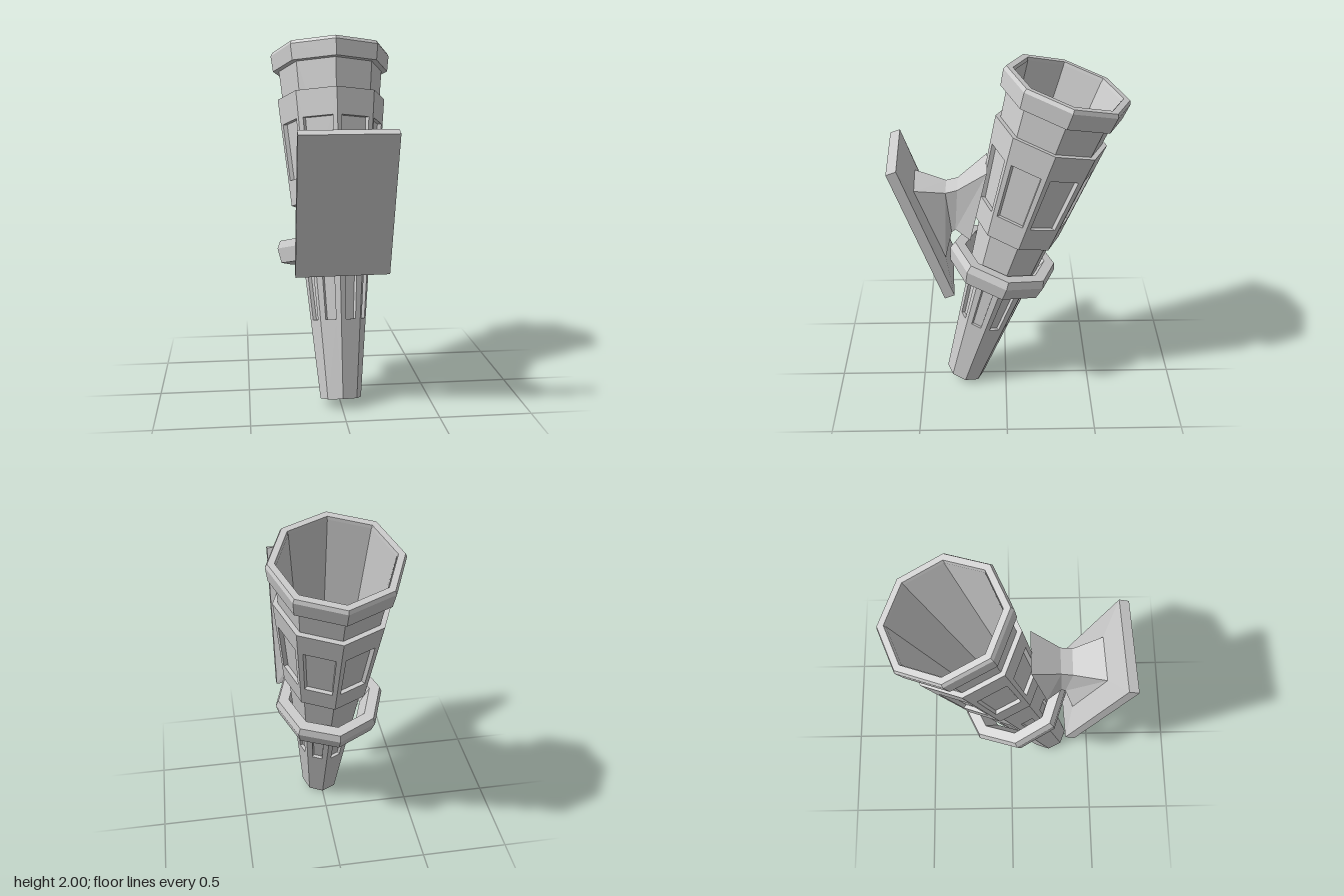
import * as THREE from 'three';

const SIDES = 8;
const material = new THREE.MeshStandardMaterial({ color: 0xcccccc, flatShading: true });

// Turn a list of four-cornered faces into a flat shaded mesh
function quadMesh(name, quads) {
  const pos = [];
  for (const [a, b, c, d] of quads) for (const p of [a, b, c, a, c, d]) pos.push(...p);
  const geometry = new THREE.BufferGeometry();
  geometry.setAttribute('position', new THREE.Float32BufferAttribute(pos, 3));
  geometry.computeVertexNormals();
  const mesh = new THREE.Mesh(geometry, material);
  mesh.name = name;
  return mesh;
}

// Eight-sided turned part; profile points are [radius, height]
function turned(name, profile) {
  const points = profile.map(([r, y]) => new THREE.Vector2(r, y));
  const mesh = new THREE.Mesh(new THREE.LatheGeometry(points, SIDES), material);
  mesh.name = name;
  return mesh;
}

// Tapered eight-sided wall with one recessed panel in every face
function panelledWall(name, { y0, r0, y1, r1, low, high, margin, depth }) {
  const quads = [];
  for (let k = 0; k < SIDES; k++) {
    const point = (t, y, inset = 0) => {
      const r = r0 + (r1 - r0) * (y - y0) / (y1 - y0) - inset;
      const a = k * 2 * Math.PI / SIDES;
      const b = (k + 1) * 2 * Math.PI / SIDES;
      return [
        r * ((1 - t) * Math.sin(a) + t * Math.sin(b)),
        y,
        r * ((1 - t) * Math.cos(a) + t * Math.cos(b)),
      ];
    };
    const outer = [[0, y0], [1, y0], [1, y1], [0, y1]].map(([t, y]) => point(t, y));
    const corners = [[margin, low], [1 - margin, low], [1 - margin, high], [margin, high]];
    const edge = corners.map(([t, y]) => point(t, y));
    const back = corners.map(([t, y]) => point(t, y, depth));
    for (let i = 0; i < 4; i++) {
      const j = (i + 1) % 4;
      quads.push([outer[i], outer[j], edge[j], edge[i]]);
      quads.push([edge[i], edge[j], back[j], back[i]]);
    }
    quads.push(back);
  }
  return quadMesh(name, quads);
}

// Loft through rectangles running from front to back
// Each section: top [z, y], bottom [z, y], half width, yaw slope
function rectLoft(name, sections) {
  const rings = sections.map(({ top, bottom, w, yaw = 0 }) =>
    [[w, top], [-w, top], [-w, bottom], [w, bottom]].map(([x, [z, y]]) => [x, y, z - x * yaw]));
  const quads = [rings[0], [...rings[rings.length - 1]].reverse()];
  for (let s = 0; s + 1 < rings.length; s++) {
    for (let i = 0; i < 4; i++) {
      const j = (i + 1) % 4;
      quads.push([rings[s][i], rings[s + 1][i], rings[s + 1][j], rings[s][j]]);
    }
  }
  return quadMesh(name, quads);
}

export function createModel() {
  const model = new THREE.Group();
  model.name = 'wallTorchHolder';

  // Leaning torch, built upright along its own axis
  const torch = new THREE.Group();
  torch.name = 'torch';
  torch.position.set(0, 0.04, 0.247);
  torch.rotation.x = THREE.MathUtils.degToRad(-16.9);
  model.add(torch);

  // Slotted handle with its closed foot
  torch.add(panelledWall('handle', {
    y0: 0, r0: 0.112, y1: 0.8, r1: 0.19, low: 0.43, high: 0.765, margin: 0.25, depth: 0.02,
  }));
  torch.add(turned('handleFoot', [[0, 0], [0.112, 0]]));

  // Hollow cup: outside wall up, then inside wall down to the floor
  torch.add(turned('cup', [
    [0.19, 0.8], [0.217, 1.07], [0.3, 1.88], [0.29, 1.94], [0.16, 0.77], [0, 0.77],
  ]));

  // Panelled sleeve around the cup
  torch.add(panelledWall('sleeve', {
    y0: 1.07, r0: 0.243, y1: 1.68, r1: 0.307, low: 1.21, high: 1.53, margin: 0.12, depth: 0.024,
  }));
  torch.add(turned('sleeveLowerEdge', [[0.21, 1.07], [0.243, 1.07]]));
  torch.add(turned('sleeveUpperEdge', [[0.307, 1.68], [0.27, 1.68]]));

  // Rim at the mouth
  torch.add(turned('rim', [
    [0.29, 1.845], [0.33, 1.845], [0.342, 1.935], [0.332, 1.955], [0.297, 1.955], [0.287, 1.9],
  ]));

  // Loose holding ring, sitting slightly off centre
  const ring = turned('holdingRing', [
    [0.185, 0.75], [0.29, 0.75], [0.31, 0.83], [0.295, 0.872], [0.235, 0.872], [0.205, 0.8], [0.185, 0.75],
  ]);
  ring.position.set(-0.02, 0, 0.01);
  ring.rotation.y = 0.05;
  torch.add(ring);

  // Leaning wall plate with a low pyramid behind it
  const yaw = 0.044;
  const armBase = { top: [0.492, 1.36], bottom: [0.338, 0.945], w: 0.123, yaw };
  model.add(rectLoft('wallPlate', [
    { top: [0.621, 1.525], bottom: [0.35, 0.757], w: 0.252, yaw },
    { top: [0.568, 1.544], bottom: [0.297, 0.778], w: 0.252, yaw },
    armBase,
  ]));

  // Waisted arm from the plate to the sleeve
  model.add(rectLoft('arm', [
    armBase,
    { top: [0.324, 1.32], bottom: [0.297, 1.077], w: 0.075 },
    { top: [0.26, 1.337], bottom: [0.276, 1.093], w: 0.075 },
    { top: [0.1, 1.46], bottom: [0.195, 1.05], w: 0.12 },
  ]));

  return model;
}
